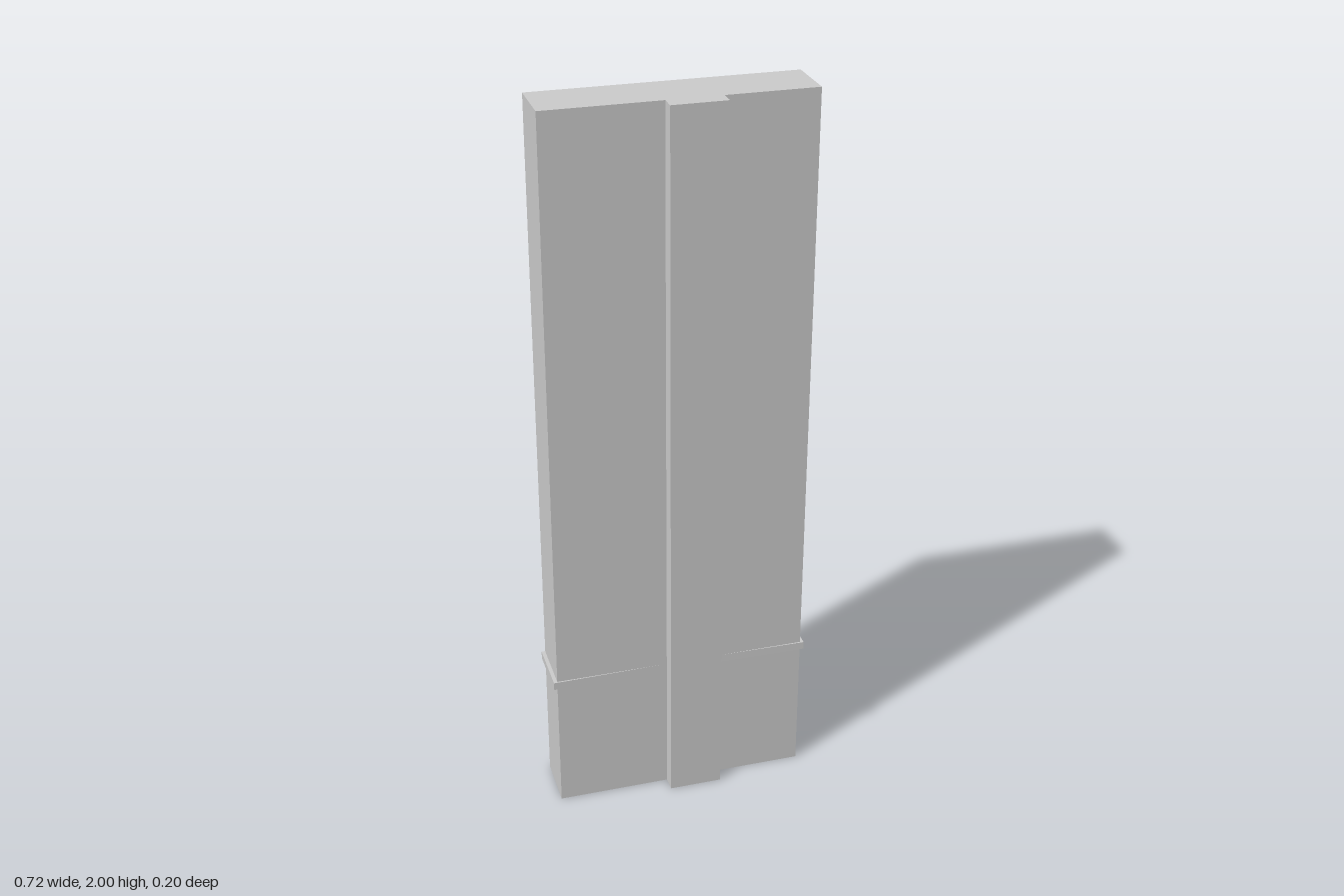
import * as THREE from 'three';

// Points are [x, z], running along the front from -x to +x and then round the back.
const WALL = [
  [-0.35, 0.056], [-0.04, 0.056], [-0.04, 0.098], [0.106, 0.098],
  [0.106, 0.056], [0.35, 0.056], [0.35, -0.096], [-0.35, -0.096],
];
// Band outline: tapers into the front wall on both sides of the pilaster.
const BAND = [
  [0.106, 0.056], [0.36, 0.06], [0.36, -0.098], [-0.36, -0.098], [-0.36, 0.06], [-0.04, 0.056],
  [-0.35, 0.056], [-0.35, -0.096], [0.35, -0.096], [0.35, 0.056],
];
const HEIGHT = 2;
const BAND_Y = 0.38;
const BAND_HEIGHT = 0.022;

const toShape = (points) => new THREE.Shape(points.map(([x, z]) => new THREE.Vector2(x, -z)));

export function createModel() {
  const model = new THREE.Group();
  model.name = 'wallPanel';
  const material = new THREE.MeshStandardMaterial({
    color: 0xcccccc, flatShading: true, side: THREE.DoubleSide,
  });

  const add = (name, geometry, parent = model) => {
    const mesh = new THREE.Mesh(geometry, material);
    mesh.name = name;
    parent.add(mesh);
    return mesh;
  };

  // Hollow shell with the pilaster in its front, open at the bottom
  const shell = new THREE.Group();
  shell.name = 'shell';
  model.add(shell);
  WALL.forEach(([x0, z0], i) => {
    const [x1, z1] = WALL[(i + 1) % WALL.length];
    const onPilaster = i >= 1 && i <= 3;
    const side = add(onPilaster ? 'pilasterSide' : 'wallSide',
      new THREE.PlaneGeometry(Math.hypot(x1 - x0, z1 - z0), HEIGHT), shell);
    side.position.set((x0 + x1) / 2, HEIGHT / 2, (z0 + z1) / 2);
    side.rotation.y = Math.atan2(z0 - z1, x1 - x0);
  });

  // Flat top
  add('top', new THREE.ShapeGeometry(toShape(WALL)).rotateX(-Math.PI / 2)).position.y = HEIGHT;

  // Thin band around the lower part
  const band = new THREE.ExtrudeGeometry(toShape(BAND), { depth: BAND_HEIGHT, bevelEnabled: false });
  add('band', band.rotateX(-Math.PI / 2)).position.y = BAND_Y;

  return model;
}
